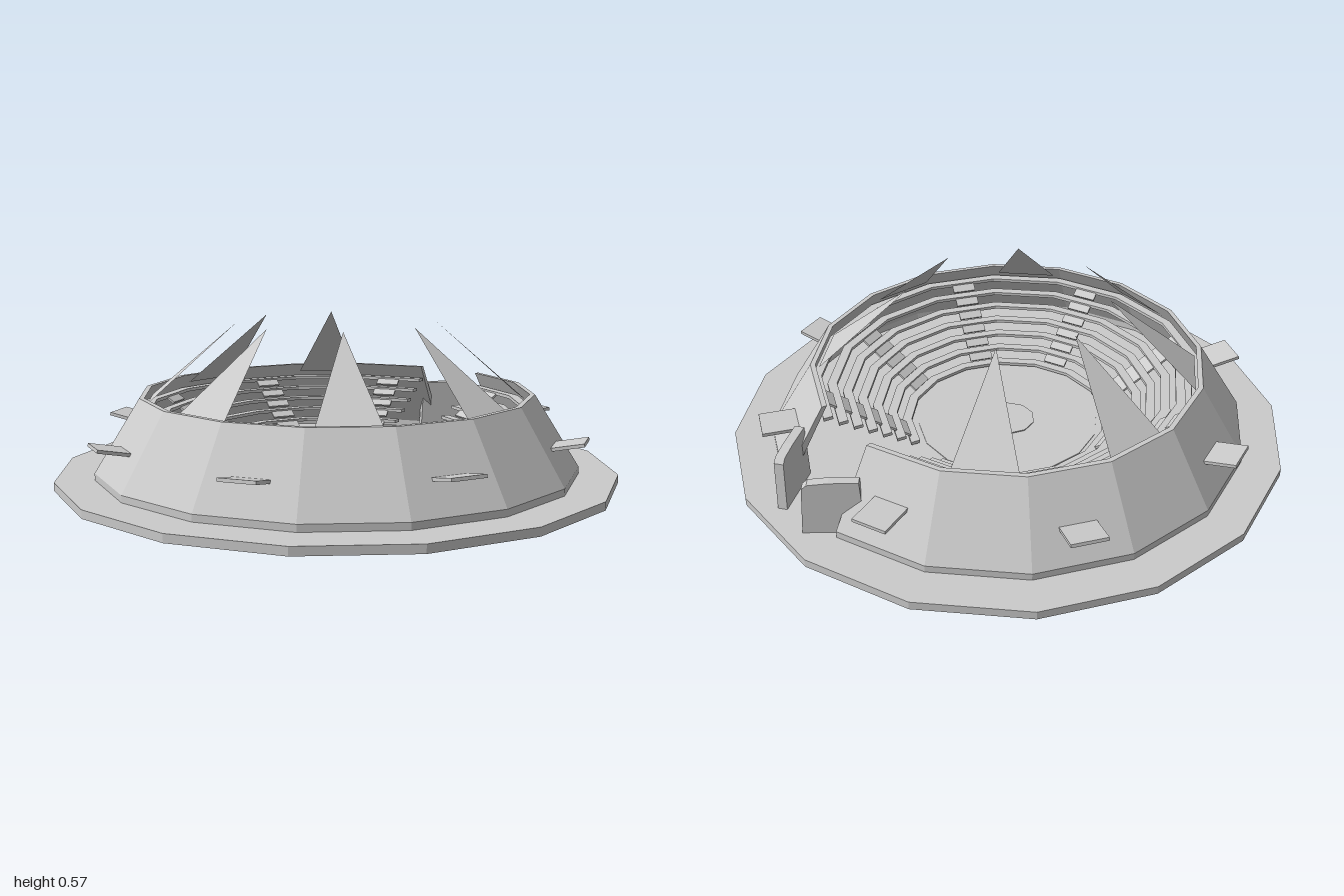
import * as THREE from 'three';

const SIDES = 16;
const FLAT = Math.cos(Math.PI / SIDES); // flat-to-corner ratio of the polygon
const BASE_Y = 0.03;
// Bench rows: count, first front radius, first height, and the pitch of each
const ROWS = 7, ROW_R = 0.355, ROW_Y = 0.055, PITCH_R = 0.052, PITCH_Y = 0.035;

export function createModel() {
  const model = new THREE.Group();
  model.name = 'amphitheatre';
  const mat = new THREE.MeshStandardMaterial({ color: 0xcccccc, flatShading: true, side: THREE.DoubleSide });

  const add = (name, geometry, parent = model) => {
    const mesh = new THREE.Mesh(geometry, mat);
    mesh.name = name;
    parent.add(mesh);
    return mesh;
  };
  // Group turned about the centre; angle 0 faces the front
  const spoke = (name, angle) => {
    const g = new THREE.Group();
    g.name = name;
    g.rotation.y = angle;
    model.add(g);
    return g;
  };
  const outline = (points) => new THREE.Shape(points.map(([x, y]) => new THREE.Vector2(x, y)));
  const disc = (name, r, bottom, top, sides) => {
    const g = new THREE.CylinderGeometry(r, r, top - bottom, sides);
    g.rotateY(Math.PI / sides);
    g.translate(0, (top + bottom) / 2, 0);
    return add(name, g);
  };

  // Closed section swept round all sides but the one at the back, with capped ends
  const start = Math.PI + Math.PI / SIDES;
  const sweep = Math.PI * 2 * (SIDES - 1) / SIDES;
  const ring = (name, section) => {
    const points = section.map(([r, y]) => new THREE.Vector2(r / FLAT, y));
    const group = new THREE.Group();
    group.name = name;
    model.add(group);
    add(name + 'Body', new THREE.LatheGeometry([...points, points[0]], SIDES - 1, start, sweep), group);
    for (const angle of [start, start + sweep]) {
      const end = add(name + 'End', new THREE.ShapeGeometry(new THREE.Shape(points)), group);
      end.rotation.y = angle - Math.PI / 2;
    }
  };

  // Ground slab, arena floor and centre spot
  disc('baseSlab', 1 / FLAT, 0, BASE_Y, SIDES);
  disc('arenaFloor', 0.33 / FLAT, BASE_Y, BASE_Y + 0.003, SIDES);
  disc('centreSpot', 0.1, BASE_Y, BASE_Y + 0.007, 10);

  // Thin outer shell leaning in to the rim
  ring('outerWall', [
    [0.862, BASE_Y], [0.862, 0.055], [0.703, 0.315],
    [0.685, 0.315], [0.83, 0.055], [0.83, BASE_Y],
  ]);

  // Open bench rows rising toward the wall
  for (let i = 0; i < ROWS; i++) {
    const r = ROW_R + i * PITCH_R;
    const y = ROW_Y + i * PITCH_Y;
    ring('benchRow', [[r + 0.034, y - 0.012], [r + 0.034, y], [r, y], [r, y - 0.012]]);
  }

  for (let k = 0; k < 8; k++) {
    // Sloping stair plates that bridge the gaps between rows
    const bay = spoke('bay', Math.PI / 8 + k * Math.PI / 4);
    for (let i = 0; i < ROWS - 1; i++) {
      const step = add('stairPlate', new THREE.BoxGeometry(0.09, 0.008, 0.036), bay);
      step.position.set(0, ROW_Y + (i + 0.5) * PITCH_Y, ROW_R + 0.043 + i * PITCH_R);
      step.rotation.x = -0.6;
    }
    // Canopies on the outer wall, level beside the entrance and tilted elsewhere
    const level = k === 3 || k === 4;
    const canopy = add('canopy', new THREE.BoxGeometry(0.127, 0.012, 0.13), bay);
    canopy.position.set(0, level ? 0.183 : 0.17, 0.845);
    canopy.rotation.x = level ? 0 : -0.2;

    // Spikes leaning in over the seats, none above the entrance
    if (k !== 4) {
      const blade = new THREE.ShapeGeometry(outline([[-0.115, 0], [0.115, 0], [0, 0.427]]));
      const spike = add('spike', blade, spoke('spikeMount', k * Math.PI / 4));
      spike.position.set(0, 0.288, 0.68);
      spike.rotation.x = -Math.atan2(0.32, 0.28);
    }
  }

  // Entrance walls angled to either side of the gap
  const wing = outline([[0, BASE_Y], [0.012, 0.212], [0.03, 0.228], [0.1, 0.235], [0.2, 0.235], [0.21, BASE_Y]]);
  for (const side of [-1, 1]) {
    const slab = new THREE.ExtrudeGeometry(wing, { depth: 0.034, bevelEnabled: false }).translate(0, 0, -0.017);
    const wall = add('entranceWall', slab);
    wall.position.set(side * 0.068, 0, -0.928);
    wall.rotation.y = Math.atan2(-0.15, side * 0.115);
  }

  model.rotation.y = -0.013;
  return model;
}
